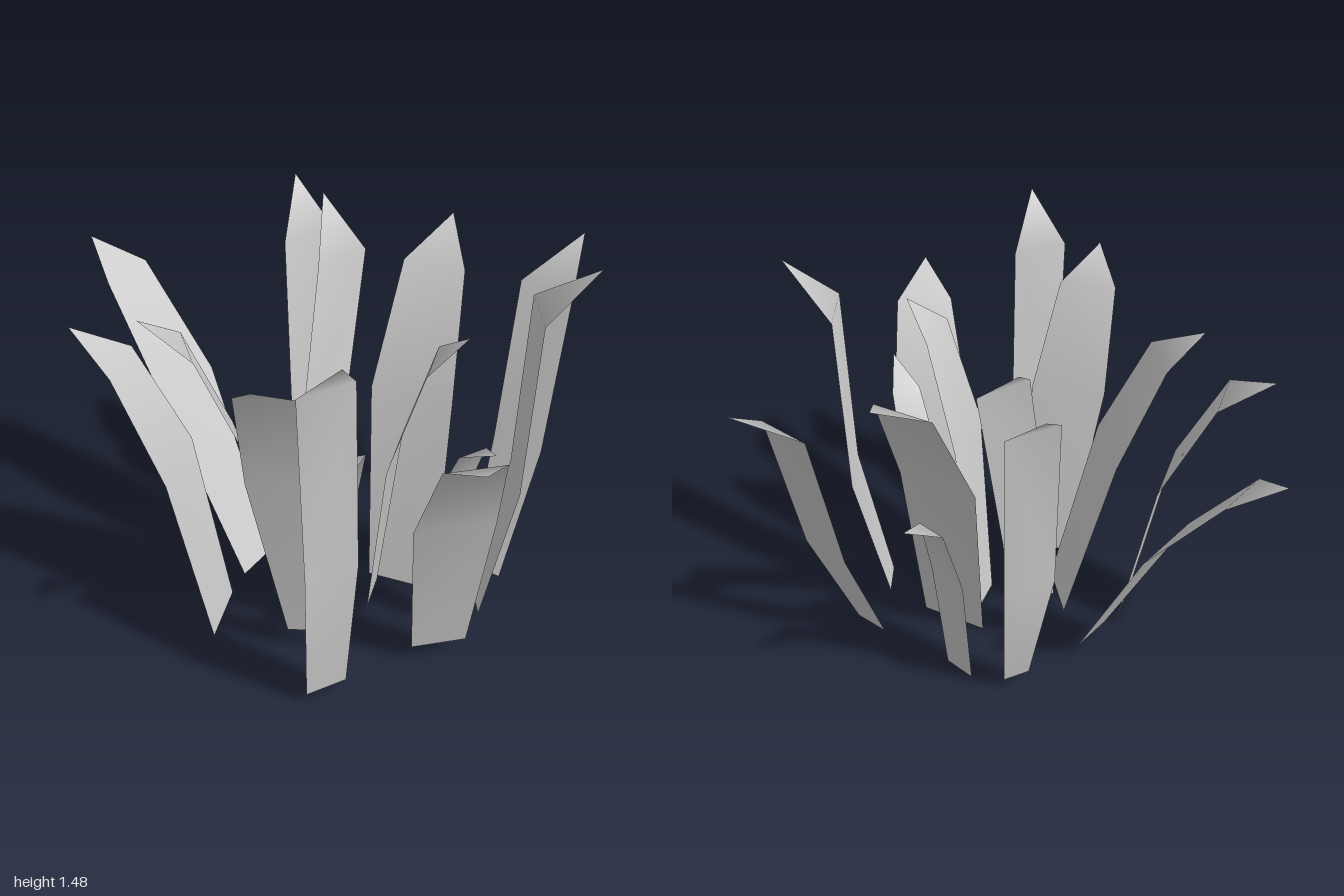
import * as THREE from 'three';

const material = new THREE.MeshStandardMaterial({ color: 0xcccccc, side: THREE.DoubleSide });

// Broad leaves: widest in the middle, with a gentle arch.
// [base x,y,z, middle x,z, shoulder x,z, tip x,y,z, full width x,z, base taper]
const broad = {
  mid: 0.58, shoulder: 0.91, midWidth: 1, shoulderWidth: 0.74,
  leaves: [
    [0.165, 0, -0.06, 0.075, -0.17, -0.03, -0.35, -0.13, 1.31, -0.52, 0.27, -0.16, 0.83],
    [-0.125, 0.03, -0.2, -0.17, -0.27, -0.22, -0.355, -0.275, 0.905, -0.49, 0.15, -0.04, 0.83],
    [-0.225, 0.04, 0.33, -0.56, 0.39, -0.845, 0.45, -1, 1.18, 0.505, 0.105, 0.275, 0.62],
    [-0.09, 0, 0.58, -0.19, 0.66, -0.33, 0.775, -0.485, 1.16, 0.88, 0.2, 0.23, 0.82],
    [0.035, 0.06, 0.34, -0.04, 0.49, -0.13, 0.63, -0.22, 1.265, 0.76, 0.27, 0.1, 0.83],
    [0.27, 0.09, 0.43, 0.305, 0.54, 0.355, 0.645, 0.445, 1.32, 0.755, 0.19, -0.21, 0.63],
    [0.57, 0.06, 0.09, 0.69, 0.14, 0.845, 0.205, 0.995, 1.13, 0.295, 0.12, -0.26, 0.7],
    [0.18, 0.03, 0.09, 0.305, 0.09, 0.43, 0.035, 0.53, 1.265, -0.035, 0.17, 0.21, 0.62],
    [0.355, 0.04, -0.015, 0.44, -0.035, 0.57, -0.03, 0.715, 0.92, -0.005, 0.015, -0.15, 0.65],
    [0.08, 0.04, 0.27, 0.15, 0.24, 0.265, 0.26, 0.405, 0.85, 0.325, 0.07, -0.15, 0.85],
  ],
};

// Upright leaves: straight sides and a sharply bent tip.
const upright = {
  mid: 0.39, shoulder: 0.88, midWidth: 0.95, shoulderWidth: 1,
  leaves: [
    [0.305, 0, -0.355, 0.25, -0.55, 0.21, -0.685, 0.18, 1.24, -0.89, 0.2, -0.07, 0.67],
    [0.46, 0.04, -0.18, 0.515, -0.29, 0.56, -0.305, 0.7, 1.455, -0.44, 0.185, 0.12, 0.65],
    [-0.275, 0.04, -0.04, -0.4, -0.07, -0.41, -0.075, -0.585, 1.405, -0.14, 0.015, -0.21, 0.5],
    [-0.02, 0.03, 0.155, -0.145, 0.075, -0.165, -0.04, -0.35, 1.43, -0.095, -0.01, -0.215, 0.65],
    [0.49, 0.04, 0.53, 0.56, 0.55, 0.545, 0.55, 0.7, 1.475, 0.605, 0.03, -0.205, 0.75],
  ],
};

// A strip of three cross-sections closed by a pointed tip
function leafGeometry(style, [bx, by, bz, mx, mz, sx, sz, tx, ty, tz, wx, wz, taper]) {
  const height = (t) => by + (ty - by) * t;
  const sections = [
    [bx, by, bz, taper],
    [mx, height(style.mid), mz, style.midWidth],
    [sx, height(style.shoulder), sz, style.shoulderWidth],
  ];
  const points = [];
  for (const [x, y, z, w] of sections) {
    for (const side of [-0.5, 0.5]) points.push(x + side * w * wx, y, z + side * w * wz);
  }
  points.push(tx, ty, tz);
  const geometry = new THREE.BufferGeometry();
  geometry.setAttribute('position', new THREE.Float32BufferAttribute(points, 3));
  geometry.setIndex([0, 1, 3, 0, 3, 2, 2, 3, 5, 2, 5, 4, 4, 5, 6]);
  geometry.computeVertexNormals();
  return geometry;
}

export function createModel() {
  const plant = new THREE.Group();
  plant.name = 'leafyPlant';
  for (const [name, style] of [['broadLeaf', broad], ['uprightLeaf', upright]]) {
    style.leaves.forEach((leaf, i) => {
      const mesh = new THREE.Mesh(leafGeometry(style, leaf), material);
      mesh.name = `${name}${i + 1}`;
      plant.add(mesh);
    });
  }
  return plant;
}
